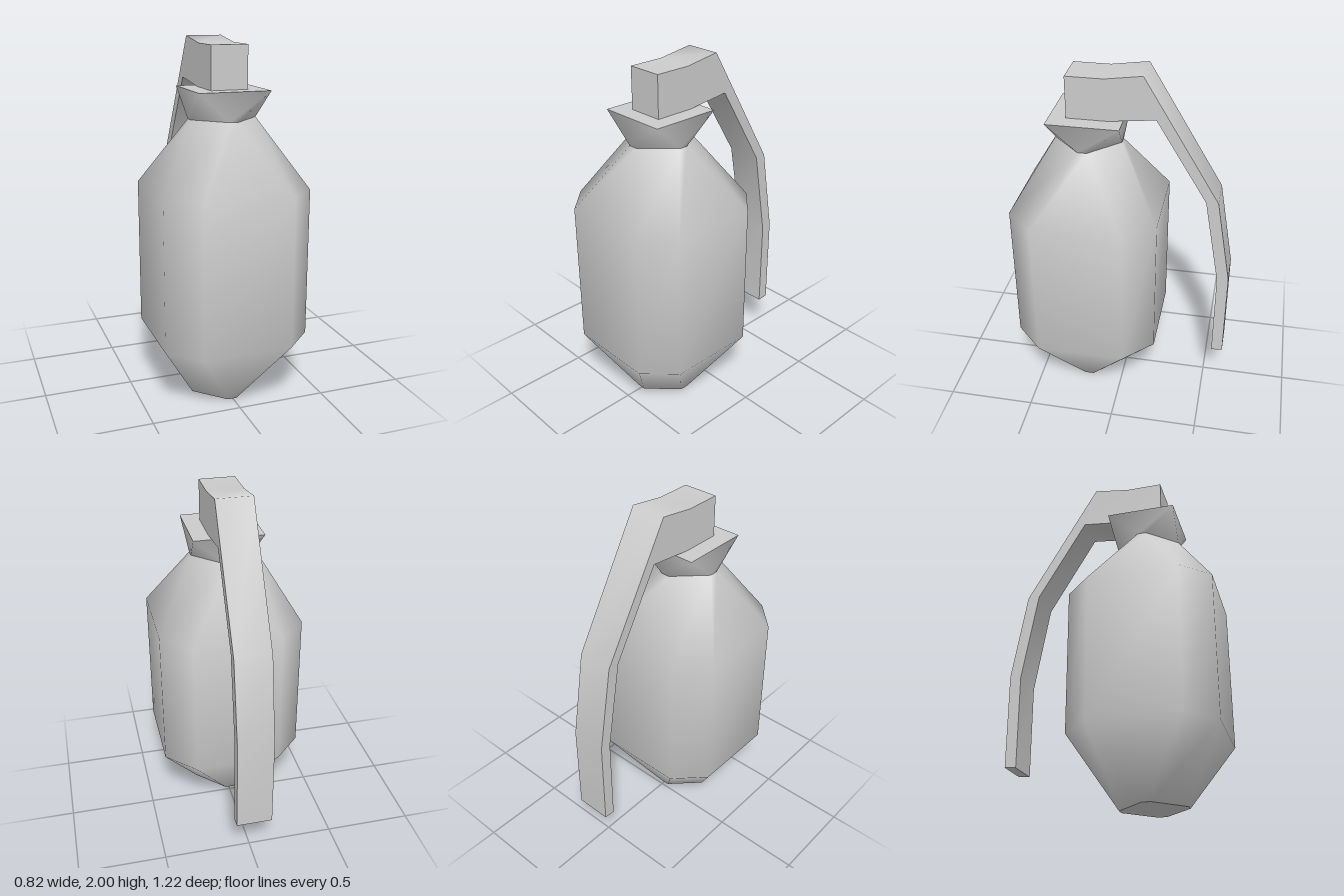
import * as THREE from 'three';
import { mergeVertices, toCreasedNormals } from 'three/addons/utils/BufferGeometryUtils.js';

const CENTRE_Z = 0.2;
const grey = () => new THREE.MeshStandardMaterial({ color: 0xcccccc });

// Square of half-width a with cut corners; b is the half-length of each straight side
function ring({ a, b, y, dx = 0 }) {
  return [[a, b], [b, a], [-b, a], [-a, b], [-a, -b], [-b, -a], [b, -a], [a, -b]]
    .map(([x, z]) => [x + dx, y, z + CENTRE_Z - dx]);
}

function geometryFrom(positions, index) {
  const g = new THREE.BufferGeometry();
  g.setAttribute('position', new THREE.Float32BufferAttribute(positions.flat(), 3));
  g.setIndex(index);
  const merged = mergeVertices(g, 1e-4);
  merged.computeVertexNormals();
  return merged;
}

// Smooth wall through a stack of rings, listed from the bottom up
function wall(levels) {
  const rings = levels.map(ring), index = [];
  for (let r = 0; r < rings.length - 1; r++) {
    for (let i = 0; i < 8; i++) {
      const j = (i + 1) % 8, lo = r * 8, hi = lo + 8;
      index.push(lo + i, hi + i, lo + j, lo + j, hi + i, hi + j);
    }
  }
  return geometryFrom(rings.flat(), index);
}

// Flat lid on one ring
function cap(level, up) {
  const index = [];
  for (let i = 1; i < 7; i++) index.push(0, ...(up ? [i + 1, i] : [i, i + 1]));
  return geometryFrom(ring(level), index);
}

export function createModel() {
  const model = new THREE.Group();
  model.name = 'grenade';
  const add = (name, geometry, parent = model) => {
    const mesh = new THREE.Mesh(geometry, grey());
    mesh.name = name;
    parent.add(mesh);
  };

  // Body: bevelled square barrel, tapering to small diamond-like ends
  const base = { a: 0.185, b: 0.025, y: 0, dx: -0.005 };
  const neck = { ...base, y: 1.58 };
  const body = new THREE.Group();
  body.name = 'body';
  add('bodyShell', wall([
    base,
    { a: 0.412, b: 0.252, y: 0.375 },
    { a: 0.412, b: 0.252, y: 1.205 },
    neck,
  ]), body);
  add('bodyBase', cap(base, false), body);
  model.add(body);

  // Collar: flares from the neck out to a sharp square
  const rim = { a: 0.198, b: 0.198, y: 1.737 };
  const collar = new THREE.Group();
  collar.name = 'collar';
  add('collarWall', wall([neck, rim]), collar);
  add('collarTop', cap(rim, true), collar);
  model.add(collar);

  // Fuse head and safety lever: one side profile (z, y) extruded across x
  const profile = [
    [0.305, 1.97], [0.1, 1.97], [-0.105, 2], [-0.525, 1.3], [-0.612, 0.8], [-0.612, 0.262],
    [-0.547, 0.257], [-0.547, 0.79], [-0.457, 1.3], [-0.175, 1.765], [0.08, 1.737], [0.305, 1.735],
  ].map(([z, y]) => new THREE.Vector2(z, y));
  const lever = new THREE.ExtrudeGeometry(new THREE.Shape(profile), { depth: 0.205, bevelEnabled: false });
  lever.translate(0, 0, -0.1025);
  lever.rotateY(-Math.PI / 2);
  add('lever', toCreasedNormals(lever, 1.25));

  return model;
}
